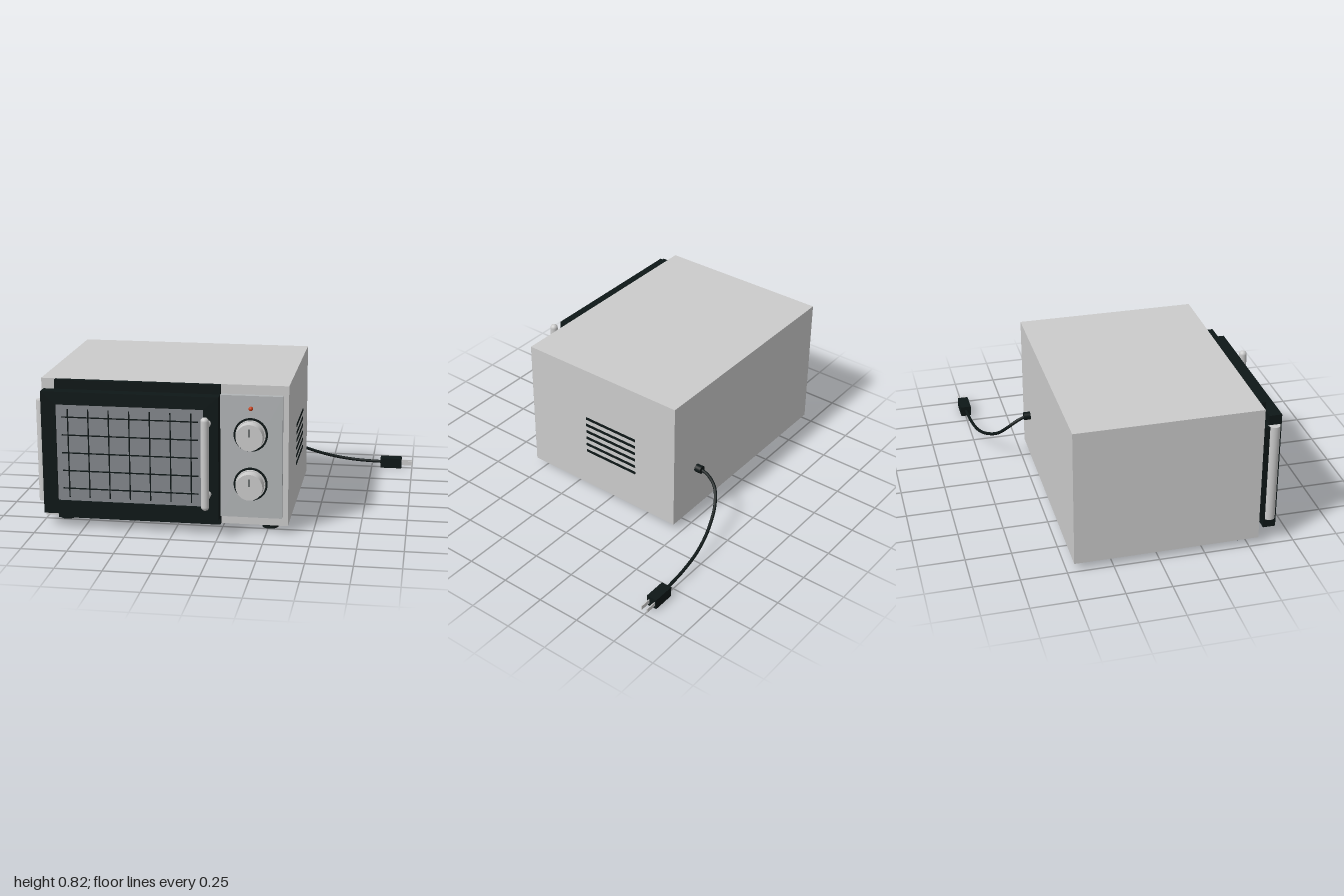
import * as THREE from 'three';

const material = (color) => new THREE.MeshStandardMaterial({ color });

export function createModel() {
  const model = new THREE.Group();
  const grey = material(0xcccccc);
  const panelGrey = material(0xb2b5b7);
  const glassGrey = material(0x85888d);
  const black = material(0x0e1717);
  const red = material(0xc8401a);

  function add(name, geometry, mat, x = 0, y = 0, z = 0, parent = model) {
    const mesh = new THREE.Mesh(geometry, mat);
    mesh.name = name;
    mesh.position.set(x, y, z);
    parent.add(mesh);
    return mesh;
  }

  // Box given by its minimum and maximum corners
  function box(name, mat, x0, x1, y0, y1, z0, z1, parent = model) {
    return add(name, new THREE.BoxGeometry(x1 - x0, y1 - y0, z1 - z0), mat,
      (x0 + x1) / 2, (y0 + y1) / 2, (z0 + z1) / 2, parent);
  }

  // Disc or rod lying along z, from z0 to z1
  function rodZ(name, mat, r0, r1, x, y, z0, z1, parent = model) {
    const geometry = new THREE.CylinderGeometry(r1, r0, z1 - z0, 40).rotateX(Math.PI / 2);
    return add(name, geometry, mat, x, y, (z0 + z1) / 2, parent);
  }

  // Rectangular frame with a rectangular opening
  function frame(x0, x1, y0, y1, hx0, hx1, hy0, hy1, depth) {
    const rect = (path, a, b, c, d) => path.moveTo(a, c).lineTo(b, c).lineTo(b, d).lineTo(a, d).closePath();
    const shape = rect(new THREE.Shape(), x0, x1, y0, y1);
    shape.holes.push(rect(new THREE.Path(), hx0, hx1, hy0, hy1));
    return new THREE.ExtrudeGeometry(shape, { depth, bevelEnabled: false });
  }

  // Cabinet and front bezel
  box('cabinet', grey, -0.985, 0.365, 0.04, 0.82, -0.46, 0.555);
  box('frontBezel', black, -0.905, 0, 0.04, 0.82, 0.555, 0.586);
  box('hingePlate', black, -0.985, -0.905, 0.15, 0.715, 0.555, 0.586);
  const hinge = new THREE.CylinderGeometry(0.032, 0.032, 0.565, 24);
  add('doorHinge', hinge, grey, -0.968, 0.4325, 0.614);

  // Door with recessed window and wire grid
  const door = new THREE.Group();
  door.name = 'door';
  model.add(door);
  add('doorFrame', frame(-0.965, 0, 0.085, 0.77, -0.885, -0.08, 0.16, 0.7, 0.069), black, 0, 0, 0.586, door);
  box('window', glassGrey, -0.885, -0.08, 0.16, 0.7, 0.59, 0.645, door);
  for (let i = 0; i < 7; i++) {
    const x = -0.82 + i * 0.112;
    box('verticalWire', black, x - 0.003, x + 0.003, 0.18, 0.675, 0.643, 0.65, door);
  }
  for (let i = 0; i < 5; i++) {
    const y = 0.23 + i * 0.1;
    box('horizontalWire', black, -0.855, -0.11, y - 0.003, y + 0.003, 0.643, 0.65, door);
  }

  // Door handle
  const handle = new THREE.Group();
  handle.name = 'handle';
  model.add(handle);
  add('handleBar', new THREE.CapsuleGeometry(0.022, 0.468, 8, 24), grey, -0.055, 0.432, 0.757, handle);
  for (const y of [0.235, 0.628]) {
    rodZ('handlePost', grey, 0.017, 0.017, -0.055, y, 0.65, 0.757, handle);
  }

  // Control panel, lamp and knobs
  box('controlPanel', panelGrey, 0, 0.335, 0.09, 0.768, 0.555, 0.584);
  add('indicatorLamp', new THREE.SphereGeometry(0.012, 20, 12), red, 0.165, 0.698, 0.588);
  for (const y of [0.555, 0.28]) {
    const knob = new THREE.Group();
    knob.name = 'knob';
    model.add(knob);
    rodZ('knobRing', black, 0.092, 0.092, 0.165, y, 0.58, 0.592, knob);
    rodZ('knobBase', grey, 0.082, 0.08, 0.165, y, 0.59, 0.602, knob);
    rodZ('knobGrip', grey, 0.076, 0.072, 0.165, y, 0.6, 0.653, knob);
    box('knobMark', black, 0.162, 0.168, y + 0.005, y + 0.048, 0.652, 0.655, knob);
  }

  // Side vents
  for (let i = 0; i < 6; i++) {
    const y = 0.276 + i * 0.0445;
    box('ventSlot', black, 0.36, 0.368, y - 0.008, y + 0.008, -0.19, 0.16);
  }

  // Feet
  for (const x of [-0.885, 0.258]) {
    for (const z of [0.453, -0.353]) {
      add('foot', new THREE.CylinderGeometry(0.047, 0.045, 0.04, 32), black, x, 0.02, z);
    }
  }

  // Power cord
  rodZ('cordGrommet', black, 0.023, 0.023, 0.155, 0.315, -0.498, -0.455);
  const path = new THREE.CatmullRomCurve3([
    [0.155, 0.315, -0.48], [0.15, 0.297, -0.53], [0.165, 0.25, -0.59], [0.225, 0.185, -0.64],
    [0.36, 0.115, -0.692], [0.5, 0.07, -0.722], [0.65, 0.045, -0.737], [0.82, 0.035, -0.746],
  ].map((p) => new THREE.Vector3(...p)));
  add('powerCord', new THREE.TubeGeometry(path, 80, 0.009, 12), black);

  // Plug
  box('plugBody', black, 0.805, 0.935, 0.004, 0.065, -0.778, -0.716);
  for (const z of [-0.767, -0.731]) {
    box('plugProng', grey, 0.93, 1, 0.022, 0.046, z - 0.003, z + 0.003);
  }

  return model;
}
